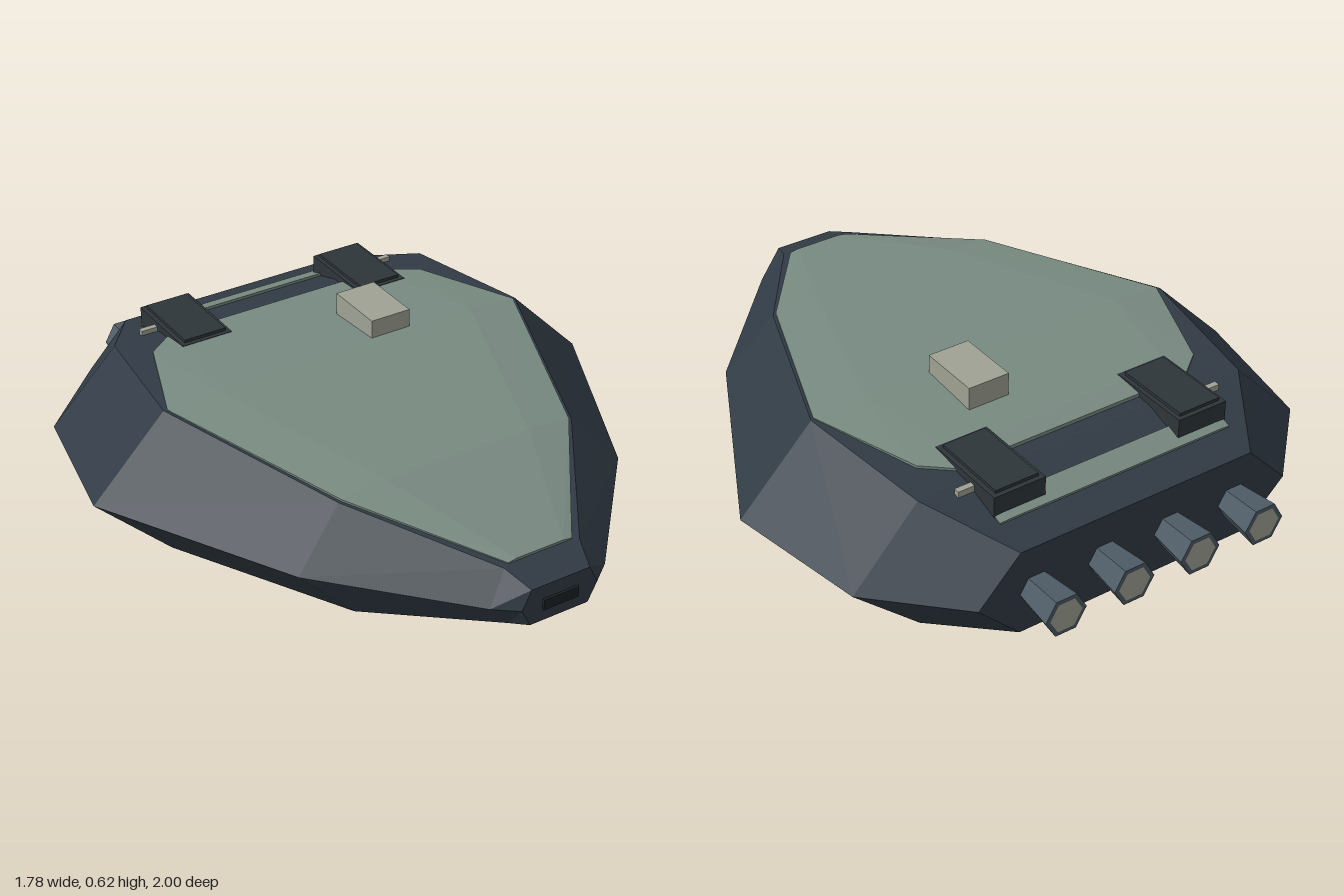
import * as THREE from 'three';

const mat = (name, color) => {
  const m = new THREE.MeshStandardMaterial({ color });
  m.name = name;
  return m;
};

// Flat-shaded solid through rings of [x, y, z]; rings run back to front, counterclockwise seen from +z
function loft(rings) {
  const pos = [];
  const tri = (a, b, c) => pos.push(...a, ...b, ...c);
  const n = rings[0].length;
  for (let i = 0; i < rings.length - 1; i++) {
    for (let j = 0; j < n; j++) {
      const k = (j + 1) % n;
      const a = rings[i][j], b = rings[i][k], c = rings[i + 1][k], d = rings[i + 1][j];
      // mirrored diagonals keep both sides alike
      if (a[0] + b[0] >= 0) { tri(a, b, c); tri(a, c, d); }
      else { tri(a, b, d); tri(b, c, d); }
    }
  }
  const back = rings[0], front = rings[rings.length - 1];
  for (let j = 1; j < n - 1; j++) {
    tri(front[0], front[j], front[j + 1]);
    tri(back[0], back[j + 1], back[j]);
  }
  const g = new THREE.BufferGeometry();
  g.setAttribute('position', new THREE.Float32BufferAttribute(pos, 3));
  g.computeVertexNormals();
  return g;
}

export function createModel() {
  const model = new THREE.Group();
  model.name = 'hovercraft';

  const hullMat = mat('slate hull', 0x313b45);
  const deckMat = mat('grey green deck', 0x788a81);
  const padMat = mat('dark fittings', 0x2e353a);
  const blockMat = mat('pale block', 0x9fa294);
  const engineMat = mat('steel engine', 0x4d5b65);
  const slotMat = mat('dark slot', 0x1d2226);
  const keelMat = mat('dark grey keel', 0x33393c);

  const add = (name, geometry, material, x = 0, y = 0, z = 0, parent = model) => {
    const m = new THREE.Mesh(geometry, material);
    m.name = name;
    m.position.set(x, y, z);
    parent.add(m);
    return m;
  };
  const box = (w, h, d) => new THREE.BoxGeometry(w, h, d);

  // Hull: six-sided sections [half width, mid y, mid z, top half width, top y, top z, bottom y, bottom z]
  const hull = [
    [0.55, 0.285, -0.86, 0.41, 0.43, -0.86, 0.145, -0.86],
    [0.80, 0.285, -0.61, 0.575, 0.515, -0.60, 0.075, -0.60],
    [0.89, 0.29, -0.14, 0.64, 0.543, -0.14, 0.04, -0.14],
    [0.57, 0.315, 0.52, 0.41, 0.49, 0.48, 0.155, 0.56],
    [0.20, 0.32, 0.935, 0.13, 0.412, 0.90, 0.24, 0.93],
    [0.13, 0.32, 0.99, 0.10, 0.382, 0.99, 0.26, 0.99],
  ].map(([w, my, mz, t, ty, tz, by, bz]) => [
    [t, by, bz], [w, my, mz], [t, ty, tz], [-t, ty, tz], [-w, my, mz], [-t, by, bz],
  ]);
  add('hull', loft(hull), hullMat);

  // Deck plates: [z, edge half width, edge y, crown half width, crown y]
  const plate = (rows) => loft(rows.map(([z, e, ey, c, cy]) => [
    [e, ey - 0.03, z], [e, ey, z], [c, cy, z], [-c, cy, z], [-e, ey, z], [-e, ey - 0.03, z],
  ]));
  add('mainDeck', plate([
    [-0.55, 0.41, 0.526, 0.34, 0.53],
    [-0.48, 0.50, 0.531, 0.40, 0.536],
    [-0.135, 0.63, 0.546, 0.46, 0.56],
    [0.48, 0.40, 0.497, 0.25, 0.51],
    [0.89, 0.11, 0.417, 0.08, 0.422],
  ]), deckMat);
  add('rearDeckStrip', plate([
    [-0.76, 0.41, 0.467, 0.38, 0.469],
    [-0.69, 0.41, 0.492, 0.38, 0.495],
  ]), deckMat);

  // Hatch block, off centre on the deck
  add('hatchBlock', box(0.14, 0.10, 0.21), blockMat, 0.166, 0.57, -0.25);

  // Rear pads with inset caps and short side pins
  for (const s of [1, -1]) {
    const pad = new THREE.Group();
    pad.name = s > 0 ? 'leftPad' : 'rightPad';
    model.add(pad);
    add('padBody', box(0.175, 0.07, 0.29), padMat, s * 0.325, 0.505, -0.59, pad);
    add('padCap', box(0.145, 0.01, 0.26), padMat, s * 0.325, 0.545, -0.59, pad);
    add('padPin', box(0.06, 0.02, 0.02), blockMat, s * 0.437, 0.514, -0.63, pad);
  }

  // Engines: flared six-sided nozzles with pale exhaust faces
  const nozzle = new THREE.CylinderGeometry(0.055, 0.07, 0.14, 6).toNonIndexed();
  nozzle.rotateY(Math.PI / 6 * 3).rotateX(Math.PI / 2);
  nozzle.computeVertexNormals();
  const exhaust = new THREE.CircleGeometry(0.055, 6).rotateY(Math.PI);
  [-0.355, -0.118, 0.118, 0.355].forEach((x, i) => {
    add('engine' + (i + 1), nozzle, engineMat, x, 0.28, -0.93);
    add('exhaust' + (i + 1), exhaust, blockMat, x, 0.28, -1.001);
  });

  // Slot in the nose
  add('noseSlot', box(0.12, 0.035, 0.02), slotMat, 0, 0.318, 0.988);

  // Keel: [z, bottom half width, bottom y, top half width, top y]
  add('keel', loft([
    [-0.60, 0.21, 0.035, 0.25, 0.085],
    [0.14, 0.22, 0, 0.29, 0.075],
    [0.40, 0.165, 0.08, 0.21, 0.13],
    [0.58, 0.10, 0.137, 0.12, 0.158],
  ].map(([z, b, by, t, ty]) => [
    [b, by, z], [t, ty, z], [t, ty + 0.04, z - 0.02], [-t, ty + 0.04, z - 0.02], [-t, ty, z], [-b, by, z],
  ])), keelMat);

  return model;
}
